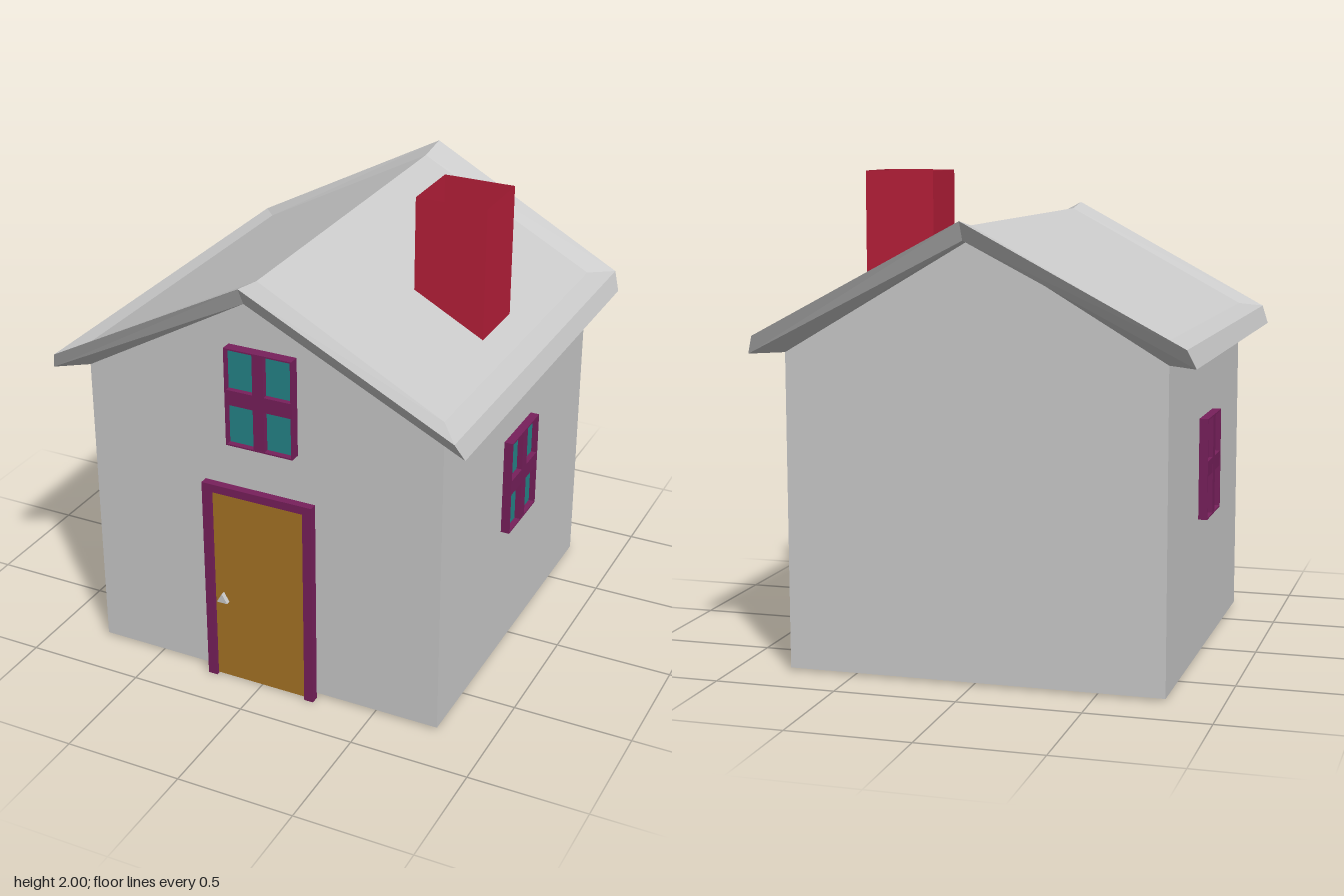
import * as THREE from 'three';

const mat = (color) => new THREE.MeshStandardMaterial({ color, side: THREE.DoubleSide, flatShading: true });
const grey = mat(0xcccccc), purple = mat(0x78205c), teal = mat(0x25868a), wood = mat(0xa87425), brick = mat(0xb81f3a);

function add(parent, name, geometry, material, x = 0, y = 0, z = 0) {
  const mesh = new THREE.Mesh(geometry, material);
  mesh.name = name;
  mesh.position.set(x, y, z);
  parent.add(mesh);
  return mesh;
}

// box given by its lower and upper corners
function block(parent, name, material, [x0, y0, z0], [x1, y1, z1]) {
  const g = new THREE.BoxGeometry(x1 - x0, y1 - y0, z1 - z0);
  return add(parent, name, g, material, (x0 + x1) / 2, (y0 + y1) / 2, (z0 + z1) / 2);
}

// gabled ring: two eave corners and one ridge point at each end
function ring(x, eaveY, z, ridgeY, ridgeZ) {
  return [[x, eaveY, z], [x, eaveY, -z], [0, ridgeY, -ridgeZ], [-x, eaveY, -z], [-x, eaveY, z], [0, ridgeY, ridgeZ]];
}

function quads(list) {
  const pos = [];
  for (const [a, b, c, d] of list) pos.push(...a, ...b, ...c, ...a, ...c, ...d);
  const g = new THREE.BufferGeometry();
  g.setAttribute('position', new THREE.Float32BufferAttribute(pos, 3));
  g.computeVertexNormals();
  return g;
}

// quads joining successive closed rings
function loft(rings) {
  const list = [];
  for (let k = 0; k + 1 < rings.length; k++) {
    const lo = rings[k], hi = rings[k + 1], n = lo.length;
    for (let i = 0; i < n; i++) {
      const j = (i + 1) % n;
      list.push([lo[i], lo[j], hi[j], hi[i]]);
    }
  }
  return list;
}

// the two slopes filling a gabled ring
const slopes = (r) => [[r[0], r[1], r[2], r[5]], [r[5], r[2], r[3], r[4]]];

// window facing +z, centred on its own origin, wall plane at z = 0
function makeWindow(name) {
  const w = 0.147, h = 0.21, t = 0.006, front = 0.04, back = -0.015;
  const win = new THREE.Group();
  win.name = name;
  for (const s of [-1, 1]) {
    add(win, 'frameSide', new THREE.BoxGeometry(t, 2 * h, front - back), purple, s * (w - t / 2), 0, (front + back) / 2);
    add(win, 'frameEnd', new THREE.BoxGeometry(2 * w, t, front - back), purple, 0, s * (h - t / 2), (front + back) / 2);
  }
  block(win, 'uprightBar', purple, [-0.024, -h, 0.005], [0.024, h, front - 0.001]);
  block(win, 'crossBar', purple, [-w, -0.032, 0.005], [w, 0.032, front - 0.002]);
  add(win, 'glass', new THREE.PlaneGeometry(2 * w - t, 2 * h - t), teal, 0, 0, 0.015);
  return win;
}

export function createModel() {
  const house = new THREE.Group();
  house.name = 'house';

  // walls, open underneath
  const base = ring(0.775, 0.01, 0.775, 0.01, 0.775);
  const wallTop = ring(0.775, 1.3, 0.775, 1.76, 0.775);
  add(house, 'walls', quads(loft([base, wallTop])), grey);

  // roof: soffit, slanted edge band, raised rim, slopes and ceiling
  const lowerEdge = ring(0.895, 1.3, 0.86, 1.76, 0.885);
  const rim = ring(0.865, 1.375, 0.895, 1.835, 0.925);
  const panel = ring(0.775, 1.395, 0.78, 1.812, 0.78);
  add(house, 'roof', quads([...loft([wallTop, lowerEdge, rim, panel]), ...slopes(panel), ...slopes(wallTop)]), grey);

  // open chimney whose foot follows the roof slope
  const foot = (x) => 1.78 - 0.533 * x;
  const corners = [[0.375, 0.17], [0.675, 0.17], [0.675, -0.115], [0.375, -0.115]];
  add(house, 'chimney', quads(loft([
    corners.map(([x, z]) => [x, foot(x), z]),
    corners.map(([x, z]) => [x, 2, z]),
  ])), brick);

  // door frame
  const arch = new THREE.Shape([[-0.245, 0], [-0.205, 0], [-0.205, 0.88], [0.205, 0.88], [0.205, 0],
    [0.245, 0], [0.245, 0.915], [-0.245, 0.915]].map(([x, y]) => new THREE.Vector2(x, y)));
  add(house, 'doorFrame', new THREE.ExtrudeGeometry(arch, { depth: 0.035, bevelEnabled: false }), purple, 0, 0, 0.795);
  block(house, 'door', wood, [-0.205, 0.005, 0.797], [0.205, 0.88, 0.815]);

  // three-sided door knob
  const knob = new THREE.CylinderGeometry(0.028, 0.028, 0.07, 3).rotateX(Math.PI / 2).rotateZ(Math.PI);
  knob.computeBoundingBox();
  if (knob.boundingBox.max.y < 0.02) knob.rotateZ(Math.PI);
  add(house, 'doorKnob', knob, grey, -0.167, 0.383, 0.8);

  // windows: gable and both sides
  const gable = makeWindow('gableWindow');
  gable.position.set(0.015, 1.315, 0.78);
  house.add(gable);
  for (const s of [-1, 1]) {
    const side = makeWindow(s > 0 ? 'leftWindow' : 'rightWindow');
    side.position.set(s * 0.772, 0.795, 0);
    side.rotation.y = s * Math.PI / 2;
    house.add(side);
  }
  return house;
}
